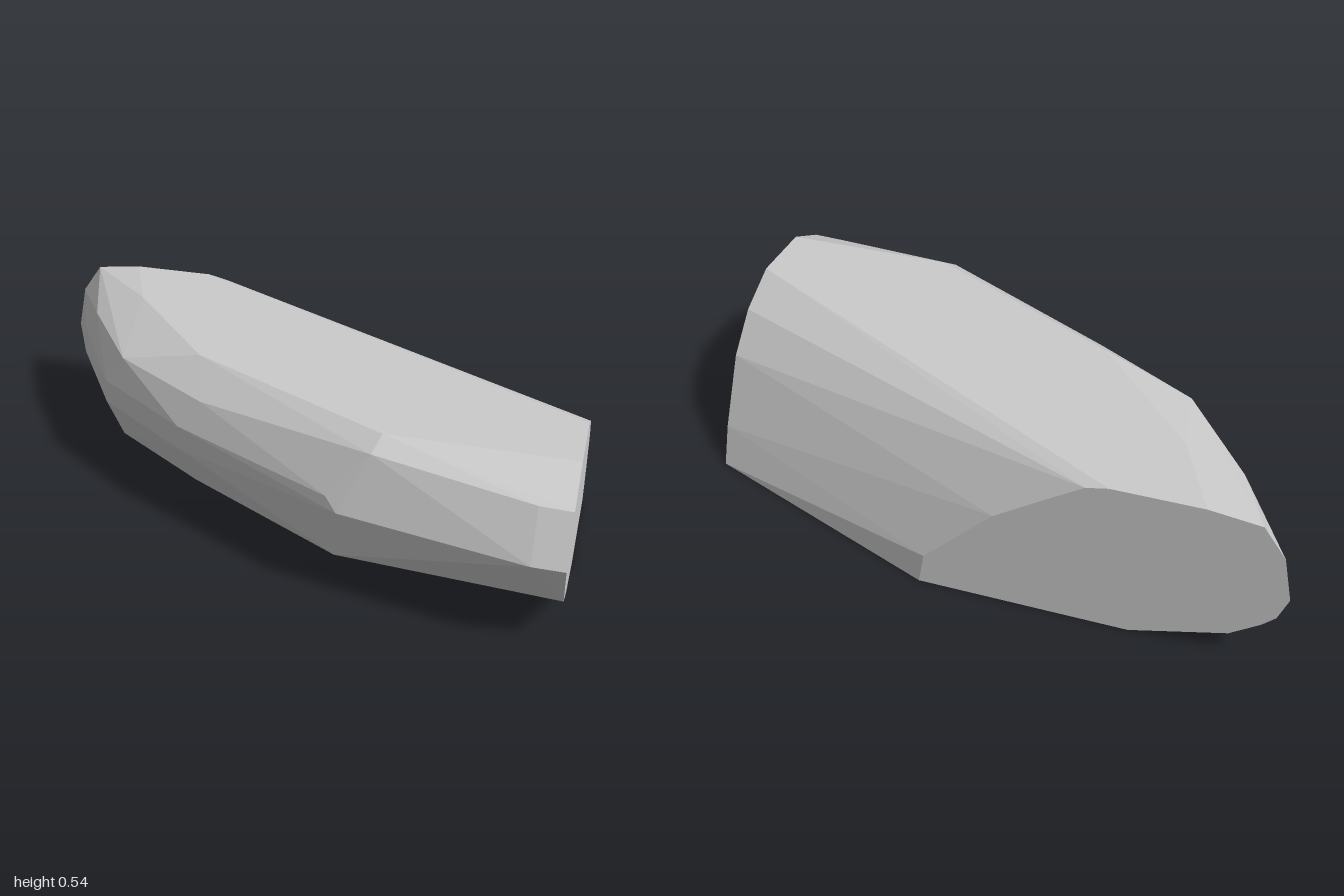
import * as THREE from 'three';
import { ConvexGeometry } from 'three/addons/geometries/ConvexGeometry.js';

// Flat cut on the x = 1 end: [z, y]
const endCut = [
  [0.39, 0.54], [0.155, 0.54], [0, 0.465], [-0.12, 0.35], [-0.24, 0.13], [-0.29, 0],
  [0.12, 0], [0.39, 0.08], [0.545, 0.16], [0.617, 0.31], [0.545, 0.465],
];

// Flat cut on the back: [x, y]
const backCut = [
  [0.14, 0], [0.12, 0.11], [-0.11, 0.34], [-0.26, 0.44], [-0.39, 0.525], [-0.46, 0.54],
  [-0.74, 0.54], [-0.9, 0.52], [-0.97, 0.42], [-1, 0.27], [-0.97, 0.19], [-0.93, 0.15],
  [-0.84, 0.085], [-0.54, 0],
];

// Contours round the curved front, from the base up: [x, y, z]
const contours = [
  // base edge
  [[0.45, 0, 0.01], [-0.08, 0, -0.23]],
  // lower crease
  [[0.86, 0.16, 0.535], [0.3, 0.14, 0.47], [-0.25, 0.14, 0.17], [-0.6, 0.14, -0.06], [-0.85, 0.14, -0.42]],
  // widest line
  [[0.9, 0.31, 0.617], [0.31, 0.31, 0.5], [-0.3, 0.27, 0.2], [-0.65, 0.27, -0.04], [-0.88, 0.27, -0.39]],
  // upper side
  [[0.27, 0.35, 0.475], [-0.3, 0.35, 0.195], [-0.65, 0.35, -0.045], [-0.87, 0.37, -0.39]],
  // shoulder
  [[0.9, 0.465, 0.54], [0.4, 0.5, 0.45], [-0.22, 0.45, 0.19], [-0.57, 0.46, -0.02], [-0.8, 0.46, -0.34]],
  // top edge
  [[0.42, 0.54, 0.39], [-0.27, 0.54, 0.04], [-0.62, 0.54, -0.35]],
];

export function createModel() {
  const group = new THREE.Group();
  group.name = 'facetedBlock';

  // The solid is the convex skin over both cuts and the front contours
  const points = [
    ...endCut.map(([z, y]) => new THREE.Vector3(1, y, z)),
    ...backCut.map(([x, y]) => new THREE.Vector3(x, y, -0.617)),
    ...contours.flat().map((p) => new THREE.Vector3(...p)),
  ];
  const body = new THREE.Mesh(
    new ConvexGeometry(points),
    new THREE.MeshStandardMaterial({ color: 0xcccccc, flatShading: true }),
  );
  body.name = 'body';
  group.add(body);
  return group;
}
